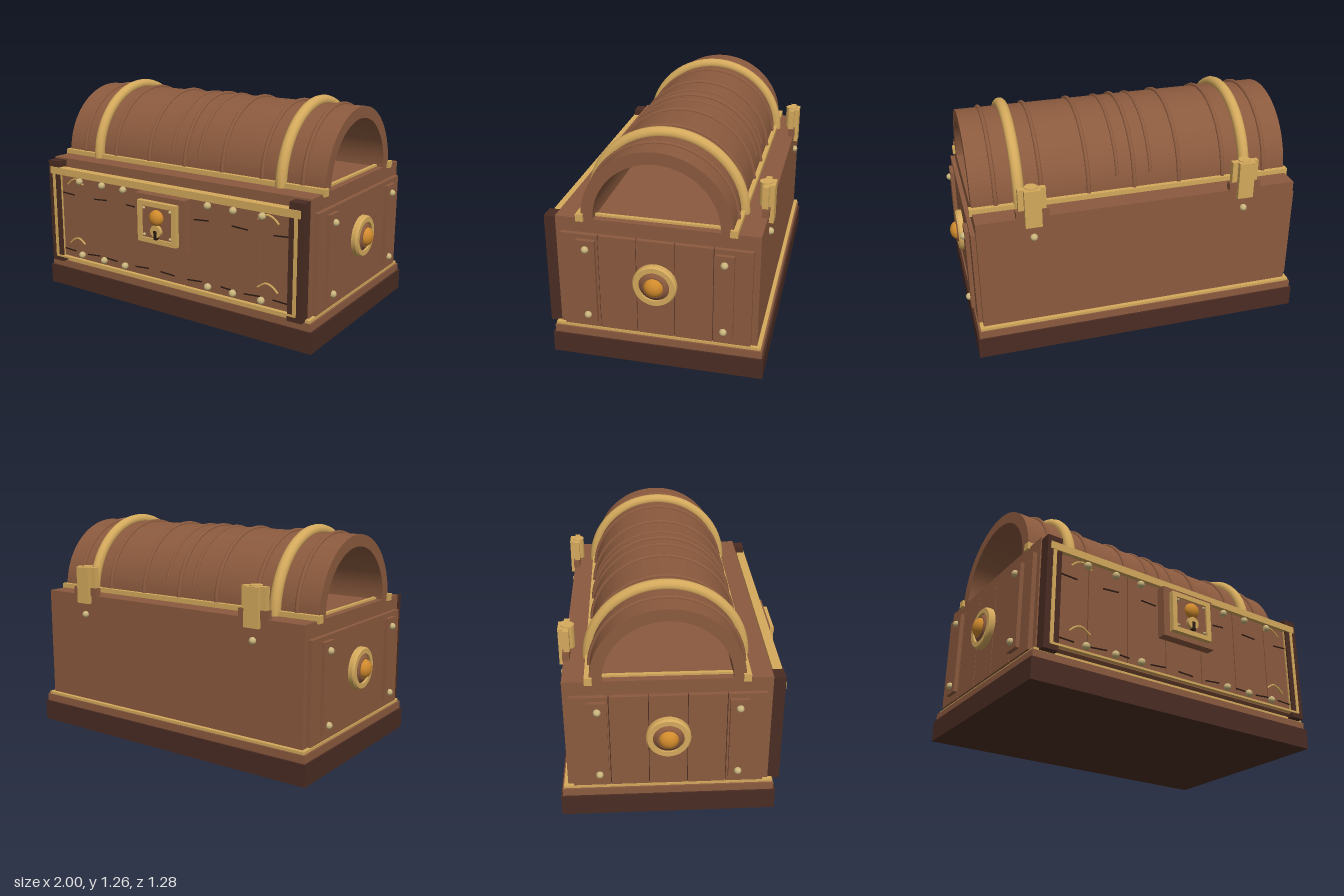
import * as THREE from 'three';
import { toCreasedNormals } from 'three/addons/utils/BufferGeometryUtils.js';

const mat = (name, color) => Object.assign(new THREE.MeshStandardMaterial({ color }), { name });

export function createModel() {
  const root = new THREE.Group();
  root.name = 'chest';
  const wood = mat('wood', 0x8b5a3e);
  const dark = mat('dark wood', 0x4a2c22);
  const gold = mat('gold trim', 0xd4a95c);
  const amber = mat('amber knob', 0xd08a2c);
  const brass = mat('pale brass', 0xc9b47c);
  const ink = mat('dark grooves', 0x2a1a12);
  const CZ = -0.06; // middle of the chest in z
  const LID_Y = 0.82;

  const add = (name, geo, m, x = 0, y = 0, z = 0, parent = root) => {
    const mesh = new THREE.Mesh(geo, m);
    mesh.name = name;
    mesh.position.set(x, y, z);
    parent.add(mesh);
    return mesh;
  };
  // box given by its minimum and maximum on each axis
  const box = (name, m, x0, x1, y0, y1, z0, z1, parent = root) =>
    add(name, new THREE.BoxGeometry(x1 - x0, y1 - y0, z1 - z0), m,
      (x0 + x1) / 2, (y0 + y1) / 2, (z0 + z1) / 2, parent);
  const ball = (name, m, r, x, y, z, flat = [1, 1, 1], parent = root) => {
    const s = add(name, new THREE.SphereGeometry(r, 20, 14), m, x, y, z, parent);
    s.scale.set(...flat);
    return s;
  };

  // plinth and body
  box('base', dark, -0.94, 0.94, 0, 0.12, -0.64, 0.52);
  box('baseStep', wood, -0.93, 0.93, 0.12, 0.163, -0.63, 0.51);
  box('baseTrim', gold, -0.92, 0.92, 0.163, 0.178, -0.622, 0.504);
  box('body', wood, -0.9, 0.9, 0.17, LID_Y, -0.6, 0.48);

  // front planks with narrow gaps
  const edges = [-0.82, -0.63, -0.38, -0.125, 0.125, 0.38, 0.63, 0.82];
  for (let i = 0; i < edges.length - 1; i++)
    box('frontPlank', wood, edges[i] + 0.003, edges[i + 1] - 0.003, 0.19, 0.745, 0.48, 0.525);
  box('frontPlankBacking', dark, -0.82, 0.82, 0.192, 0.74, 0.48, 0.515);

  // front gold frame and corner posts
  box('frontTopBand', gold, -0.875, 0.875, 0.73, 0.772, 0.5, 0.552);
  box('frontBottomBand', gold, -0.86, 0.86, 0.196, 0.208, 0.5, 0.548);
  for (const s of [-1, 1]) {
    const post = new THREE.Group();
    post.name = s > 0 ? 'leftPost' : 'rightPost';
    root.add(post);
    const px = s * 0.85;
    box('post', dark, px - 0.043, px + 0.043, 0.168, 0.81, 0.475, 0.545, post);
    box('postStrip', gold, px - 0.01, px + 0.01, 0.2, 0.75, 0.54, 0.55, post);
    box('innerStrip', gold, s * 0.807 - 0.004, s * 0.807 + 0.004, 0.2, 0.74, 0.52, 0.535, post);
  }

  // front studs
  for (const x of [-0.645, -0.465, -0.3, 0.3, 0.465, 0.645])
    for (const y of [0.705, 0.24]) ball('frontStud', brass, 0.021, x, y, 0.54);

  // curved ornaments near the corners
  for (const s of [-1, 1])
    for (const y of [0.675, 0.3]) {
      const arc = new THREE.CatmullRomCurve3([[0.745, 0], [0.71, 0.03], [0.67, 0.04], [0.62, 0.01]]
        .map(([x, h]) => new THREE.Vector3(s * x, y + h, 0.535)));
      add('cornerOrnament', new THREE.TubeGeometry(arc, 16, 0.006, 6), gold);
    }

  // thin wood grain scratches
  const scratch = (x, y, w, i) => {
    const m = add('grainMark', new THREE.BoxGeometry(w, 0.007, 0.006), ink, x, y, 0.526);
    m.rotation.z = i % 2 ? 0.08 : -0.05;
  };
  [-0.75, -0.49, -0.24, 0.25, 0.5, 0.76].forEach((x, i) => scratch(x, 0.613, 0.1, i));
  [-0.76, -0.56, -0.42, -0.18, 0.01, 0.2, 0.43, 0.58, 0.76].forEach((x, i) => scratch(x, 0.252, 0.1, i));

  // lock
  const lock = new THREE.Group();
  lock.name = 'lock';
  root.add(lock);
  box('lockBacking', wood, -0.175, 0.175, 0.42, 0.72, 0.52, 0.58, lock);
  const frame = new THREE.Shape();
  frame.moveTo(-0.135, 0.45).lineTo(0.135, 0.45).lineTo(0.135, 0.69).lineTo(-0.135, 0.69).closePath();
  const hole = new THREE.Path();
  hole.moveTo(-0.105, 0.478).lineTo(-0.105, 0.662).lineTo(0.105, 0.662).lineTo(0.105, 0.478).closePath();
  frame.holes.push(hole);
  add('lockFrame', new THREE.ExtrudeGeometry(frame, { depth: 0.03, bevelEnabled: false }), gold, 0, 0, 0.58, lock);
  box('lockPlate', wood, -0.105, 0.105, 0.478, 0.662, 0.575, 0.6, lock);
  ball('lockKnob', amber, 0.046, 0, 0.602, 0.605, [1, 1, 0.75], lock);
  const disc = add('keyholeDisc', new THREE.CylinderGeometry(0.036, 0.036, 0.02, 24), gold, 0, 0.525, 0.61, lock);
  disc.rotation.x = Math.PI / 2;
  box('keyhole', ink, -0.01, 0.01, 0.478, 0.53, 0.6, 0.624, lock);
  for (const x of [-0.092, 0.092])
    for (const y of [0.492, 0.648]) ball('lockStud', brass, 0.009, x, y, 0.602, [1, 1, 1], lock);

  // both ends: planks, plates, studs and round handle
  for (const s of [-1, 1]) {
    const end = new THREE.Group();
    end.name = s > 0 ? 'leftEnd' : 'rightEnd';
    root.add(end);
    const slab = (name, m, x0, x1, y0, y1, z0, z1) =>
      box(name, m, Math.min(s * x0, s * x1), Math.max(s * x0, s * x1), y0, y1, z0, z1, end);
    for (let i = 0; i < 5; i++) {
      const z = -0.57 + i * 0.204;
      slab('endPlank', wood, 0.9, 0.925, 0.185, 0.74, z + 0.002, z + 0.202);
    }
    slab('endPlankBacking', dark, 0.9, 0.918, 0.188, 0.737, -0.567, 0.447);
    for (const z of [0.308, -0.425]) {
      slab('endPlate', wood, 0.92, 0.947, 0.225, 0.715, z - 0.05, z + 0.05);
      for (const y of [0.665, 0.27]) ball('endStud', brass, 0.02, s * 0.95, y, z, [1, 1, 1], end);
    }
    const profile = (pts) => {
      const g = new THREE.LatheGeometry(pts.map(([r, h]) => new THREE.Vector2(r, h)), 40);
      g.rotateZ(-s * Math.PI / 2);
      return toCreasedNormals(g, 0.6);
    };
    add('handleRing', profile([[0.118, 0], [0.118, 0.03], [0.11, 0.04], [0.083, 0.04], [0.083, 0]]),
      gold, s * 0.92, 0.495, CZ, end);
    add('handleDisc', profile([[0.084, 0], [0.084, 0.025], [0.06, 0.045], [0, 0.045]]),
      wood, s * 0.92, 0.495, CZ, end);
    ball('handleKnob', amber, 0.054, s * 0.958, 0.495, CZ, [0.78, 1, 1], end);
  }

  // arched lid, open at the ends
  const arch = new THREE.Shape();
  arch.absarc(0, 0, 0.4, 0, Math.PI, false);
  arch.absarc(0, 0, 0.335, Math.PI, 0, true);
  arch.closePath();
  const lidGeo = new THREE.ExtrudeGeometry(arch, { depth: 1.8, bevelEnabled: false, curveSegments: 40 });
  lidGeo.translate(0, 0, -0.9).rotateY(Math.PI / 2);
  add('lid', toCreasedNormals(lidGeo, 0.6), wood, 0, LID_Y, CZ);

  // hoops over the lid
  const hoop = (name, m, x, R, t, from = 0) => {
    const g = new THREE.TorusGeometry(R, t, 12, 48, Math.PI - 2 * from);
    g.rotateZ(from).rotateY(Math.PI / 2);
    add(name, g, m, x, LID_Y, CZ);
  };
  for (const x of [-0.77, -0.52, -0.26, 0, 0.26, 0.52, 0.77]) hoop('lidRib', wood, x, 0.402, 0.012);
  for (const x of [-0.095, 0.095]) hoop('shortLidRib', wood, x, 0.4, 0.01, 0.25);
  for (const x of [-0.645, 0.645]) hoop('lidBand', gold, x, 0.41, 0.032);

  // rails under the lid
  for (const s of [-1, 1]) {
    const z = CZ + s * 0.404;
    box('lidRail', gold, -0.915, 0.915, 0.807, 0.847, z - 0.02, z + 0.02);
    box('endRail', gold, s * 0.85 - 0.01, s * 0.85 + 0.01, 0.815, 0.832, CZ - 0.4, CZ + 0.4);
  }

  // rear hinges
  for (const x of [-0.597, 0.597]) {
    const hinge = new THREE.Group();
    hinge.name = 'hinge';
    hinge.position.x = x;
    root.add(hinge);
    box('hingeBlock', wood, -0.09, 0.09, 0.815, 0.865, -0.605, -0.568, hinge);
    box('hingeLeaf', gold, -0.075, 0.075, 0.865, 0.985, -0.597, -0.565, hinge);
    add('hingeBarrel', new THREE.CylinderGeometry(0.035, 0.035, 0.13, 20), gold, 0, 0.925, -0.575, hinge);
    box('hingeStrap', gold, -0.045, 0.045, 0.772, 0.985, -0.625, -0.59, hinge);
    ball('hingeStud', brass, 0.02, 0, 0.703, -0.606, [1, 1, 1], hinge);
  }
  return root;
}
